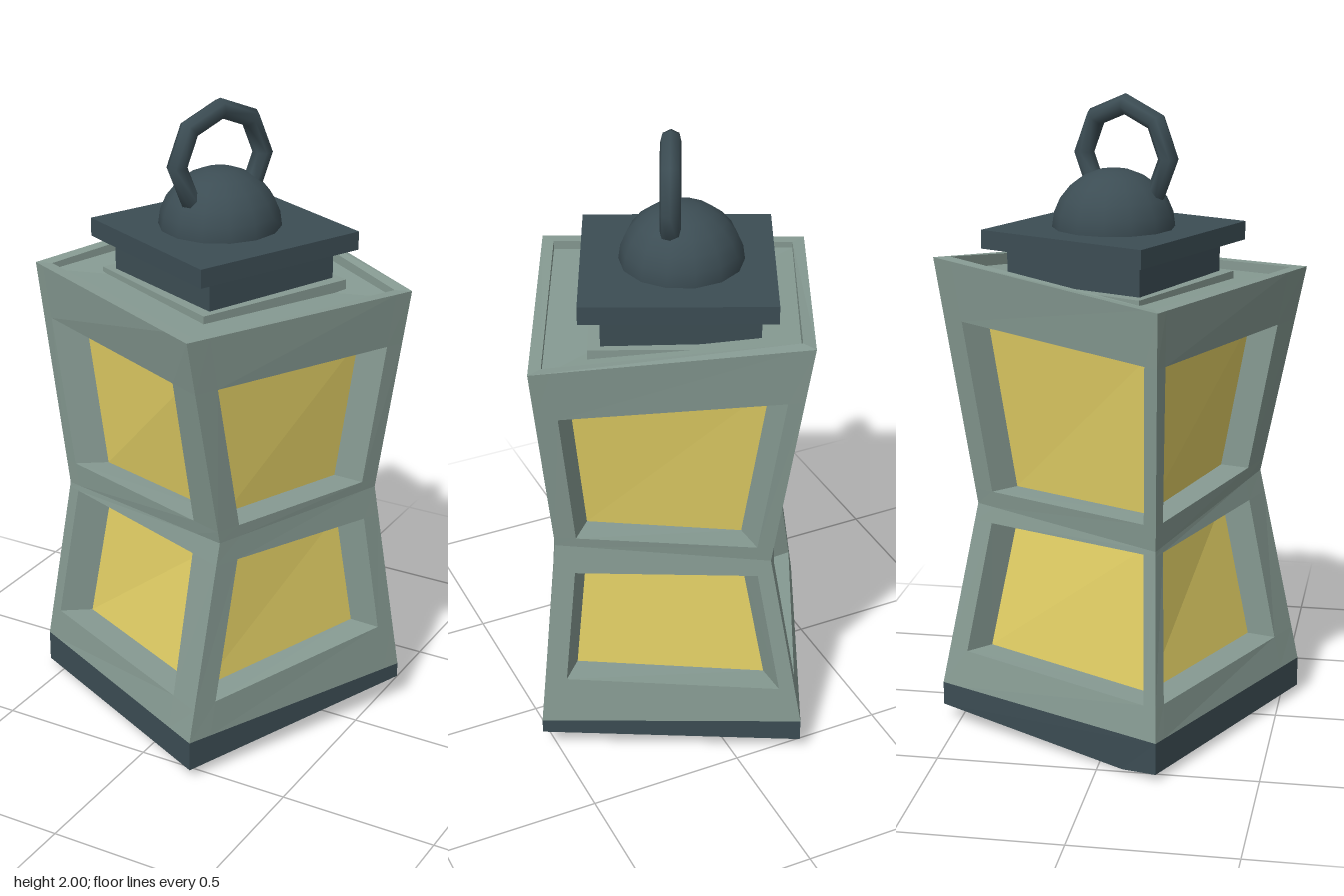
import * as THREE from 'three';

const mat = (name, color, side = THREE.FrontSide) => {
  const m = new THREE.MeshStandardMaterial({ color, side });
  m.name = name;
  return m;
};

// Flat-faced mesh from convex polygons, each listed counter-clockwise
function facets(name, material, polygons) {
  const pos = [];
  for (const p of polygons)
    for (let i = 1; i < p.length - 1; i++)
      for (const v of [p[0], p[i], p[i + 1]]) pos.push(v.x, v.y, v.z);
  const g = new THREE.BufferGeometry();
  g.setAttribute('position', new THREE.Float32BufferAttribute(pos, 3));
  g.computeVertexNormals();
  const mesh = new THREE.Mesh(g, material);
  mesh.name = name;
  return mesh;
}

// Corner posts, anticlockwise from front left.
// end / waist: [x, z]; rows: base, lower window, waist, upper window, top
const corners = [
  { end: [-0.42, 0.412], waist: [-0.343, 0.357], foot: 0.024, floor: 1.425, rows: [0.125, 0.23, 0.685, 0.7, 0.78, 1.275, 1.445] },
  { end: [0.418, 0.412], waist: [0.385, 0.275], foot: 0.028, floor: 1.415, rows: [0.125, 0.23, 0.69, 0.76, 0.8, 1.275, 1.445] },
  { end: [0.412, -0.417], waist: [0.356, -0.342], foot: 0.077, floor: 1.4, rows: [0.125, 0.285, 0.67, 0.768, 0.8, 1.255, 1.425] },
  { end: [-0.418, -0.415], waist: [-0.31, -0.345], foot: 0.05, floor: 1.475, rows: [0.125, 0.245, 0.66, 0.715, 0.765, 1.325, 1.515] },
];
// Width of frame beside the windows, [left, right] of each face
const margins = [[0.045, 0.112], [0.08, 0.06], [0.068, 0.05], [0.07, 0.045]];
// Panes sit this deep, and stay at least PANE_INSET from the corners so that
// the panes of neighbouring faces do not cross
const DEPTH = 0.092, PANE_INSET = 0.098, SHRINK = 0.017;

function cornerPoint(c, row) {
  const y = c.rows[row], yw = c.rows[3];
  const t = (y - yw) / ((row < 3 ? c.rows[0] : c.rows[6]) - yw);
  return new THREE.Vector3(
    THREE.MathUtils.lerp(c.waist[0], c.end[0], t), y,
    THREE.MathUtils.lerp(c.waist[1], c.end[1], t));
}

export function createModel() {
  const frameMat = mat('grey green frame', 0x869a92, THREE.DoubleSide);
  const darkMat = mat('dark slate metal', 0x3c4d54);
  const glassMat = mat('yellow glass', 0xe2cf65, THREE.DoubleSide);

  const model = new THREE.Group();
  model.name = 'lantern';
  const lantern = new THREE.Group();
  lantern.name = 'lanternBody';
  lantern.rotation.y = -0.445;
  model.add(lantern);

  // Four faces, each with two recessed windows
  const frame = [], glass = [];
  for (let f = 0; f < 4; f++) {
    const L = corners[f], R = corners[(f + 1) % 4];
    const grid = L.rows.map((_, r) => {
      const a = cornerPoint(L, r), b = cornerPoint(R, r), w = a.distanceTo(b);
      return [a, a.clone().lerp(b, margins[f][0] / w), b.clone().lerp(a, margins[f][1] / w), b];
    });
    const along = grid[0][3].clone().sub(grid[0][0]).setY(0).normalize();
    const inward = new THREE.Vector3(along.z, 0, -along.x).multiplyScalar(DEPTH);
    const [insetL, insetR] = margins[f].map(m => Math.max(SHRINK, PANE_INSET - m));
    for (let r = 0; r < 6; r++)
      for (let c = 0; c < 3; c++) {
        const quad = [grid[r][c], grid[r][c + 1], grid[r + 1][c + 1], grid[r + 1][c]];
        if (c !== 1 || (r !== 1 && r !== 4)) { frame.push(quad); continue; }
        const pane = quad.map((p, i) => p.clone().add(inward)
          .addScaledVector(along, i === 0 || i === 3 ? insetL : -insetR));
        // Lower windows have a sloping head
        if (r === 1) for (const p of pane.slice(2)) p.y -= 0.014;
        glass.push(pane);
        quad.forEach((p, i) => {
          const j = (i + 1) % 4;
          frame.push([p, quad[j], pane[j], pane[i]]);
        });
      }
  }

  // Raised rim and sunken roof
  const outer = corners.map(c => cornerPoint(c, 6));
  const inner = outer.map(p => new THREE.Vector3(p.x * 0.91, p.y, p.z * 0.91));
  const floor = inner.map((p, i) => p.clone().setY(corners[i].floor));
  for (let i = 0; i < 4; i++) {
    const j = (i + 1) % 4;
    frame.push([outer[i], outer[j], inner[j], inner[i]]);
    frame.push([inner[i], inner[j], floor[j], floor[i]]);
  }
  frame.push(floor);
  lantern.add(facets('frame', frameMat, frame));
  lantern.add(facets('windowPanes', glassMat, glass));

  // Dark base band with an uneven underside folded near the front
  const [A, B, C, D] = corners.map(c => new THREE.Vector3(c.end[0], c.foot, c.end[1]));
  const [a, b, c, d] = corners.map(k => cornerPoint(k, 0));
  const foldA = new THREE.Vector3(-0.417, 0.008, 0.287);
  const foldB = new THREE.Vector3(0.3, 0, 0.29);
  lantern.add(facets('baseBand', darkMat, [
    [A, B, b, a], [B, C, c, b], [C, D, d, c], [a, d, D, foldA, A],
  ]));
  lantern.add(facets('underside', frameMat, [
    [A, foldA, foldB, B], [foldA, D, C, foldB], [B, foldB, C],
  ]));

  // Ledge, neck and cap plate
  const slab = (name, half, y0, y1, turn, m) => {
    const mesh = new THREE.Mesh(new THREE.BoxGeometry(half * 2, y1 - y0, half * 2), m);
    mesh.name = name;
    mesh.position.set(-0.018, (y0 + y1) / 2, -0.021);
    mesh.rotation.y = turn;
    lantern.add(mesh);
  };
  slab('roofLedge', 0.268, 1.36, 1.438, 0.02, frameMat);
  slab('neck', 0.238, 1.4, 1.54, 0.05, darkMat);
  slab('capPlate', 0.293, 1.537, 1.595, 0.015, darkMat);

  // Dome
  const dome = new THREE.Mesh(
    new THREE.SphereGeometry(0.19, 14, 6, 0, Math.PI * 2, 0, Math.PI / 2), darkMat);
  dome.name = 'dome';
  dome.scale.y = 0.95;
  dome.position.set(-0.03, 1.594, -0.016);
  lantern.add(dome);

  // Carrying ring
  const ring = new THREE.Mesh(new THREE.TorusGeometry(0.157, 0.032, 7, 8), darkMat);
  ring.name = 'carryingRing';
  ring.position.set(0.003, 1.811, 0.006);
  ring.rotation.y = Math.PI / 2;
  lantern.add(ring);

  return model;
}
